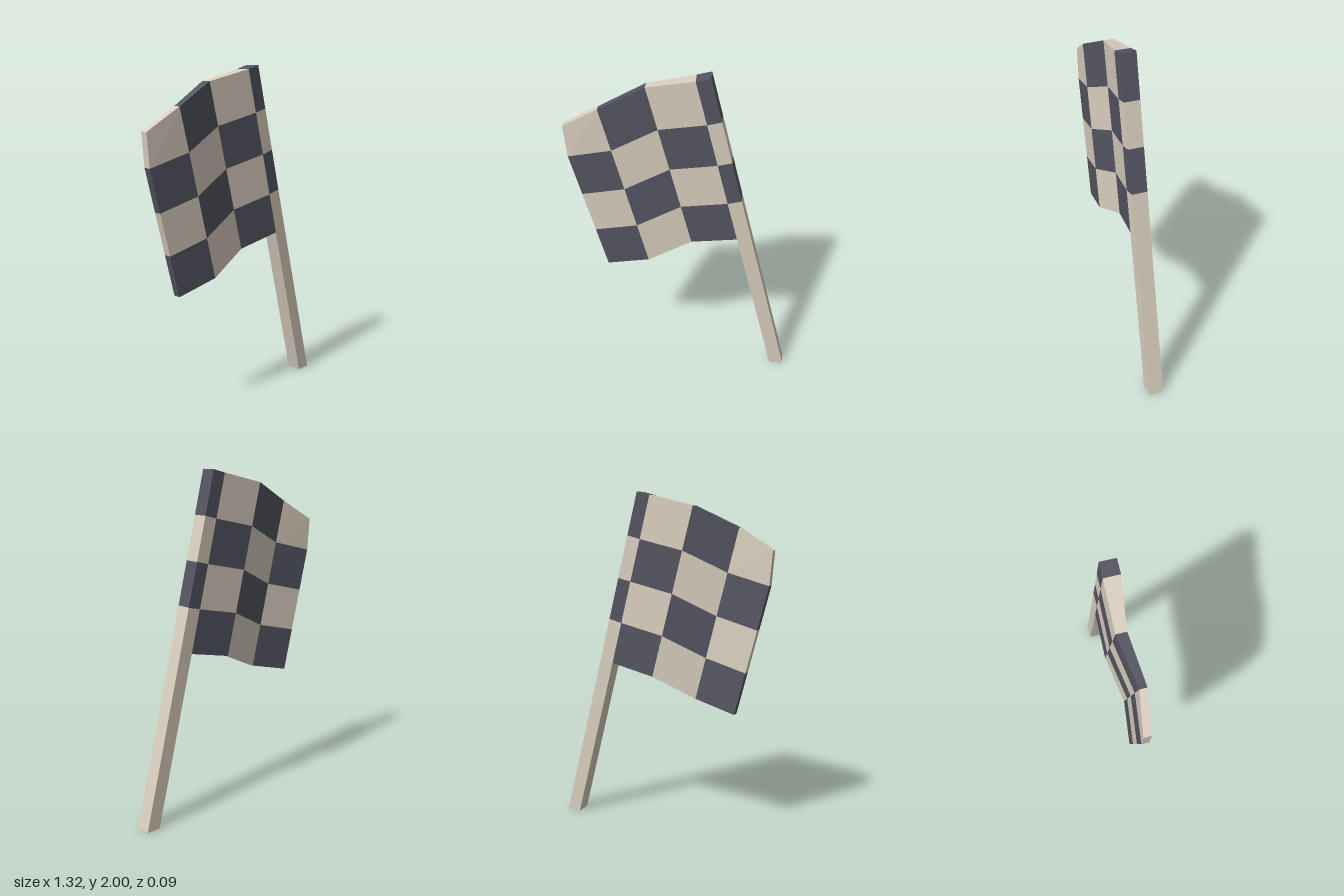
import * as THREE from 'three';

const light = new THREE.MeshStandardMaterial({ color: 0xd8cebe });
light.name = 'cream';
const dark = new THREE.MeshStandardMaterial({ color: 0x555562 });
dark.name = 'charcoal';

// Slanted fold lines from the free edge to the outer side of the pole:
// top point, then front and back depth
const folds = [
  { x: -0.707, y: 1.737, front: 0.018, back: -0.025 },
  { x: -0.455, y: 1.8, front: 0.045, back: 0.004 },
  { x: -0.2, y: 1.92, front: 0.008, back: -0.05 },
  { x: 0.07, y: 1.98, front: 0.045, back: -0.045 },
  { x: 0.15, y: 2.0, front: 0.045, back: -0.045 },
];
const ROWS = 4;
const POLE = 3; // column index of the pole
const STEP = { x: 0.063, y: -0.248 };

// Front and back points of a fold at a given row; row 5 is the foot of the pole
function points(col, row) {
  const f = folds[col];
  let x = f.x + STEP.x * row;
  let y = f.y + STEP.y * row;
  if (col === 0 && row === 0) [x, y] = [-0.66, 1.68]; // clipped corner
  if (row > ROWS) [x, y] = [col === POLE ? 0.575 : 0.66, 0];
  return { f: [x, y, f.front], b: [x, y, f.back] };
}

// Quad with corners counter-clockwise as seen from outside
function quad(out, a, b, c, d) {
  out.push(...a, ...b, ...c, ...a, ...c, ...d);
}

function addMesh(group, name, positions, material) {
  const geometry = new THREE.BufferGeometry();
  geometry.setAttribute('position', new THREE.Float32BufferAttribute(positions, 3));
  geometry.computeVertexNormals();
  const mesh = new THREE.Mesh(geometry, material);
  mesh.name = name;
  group.add(mesh);
}

export function createModel() {
  const model = new THREE.Group();
  model.name = 'checkeredFlag';
  const parts = { clothLight: [], clothDark: [], poleLight: [], poleDark: [] };

  for (let col = 0; col <= POLE; col++) {
    const isPole = col === POLE;
    const lastRow = isPole ? ROWS : ROWS - 1;
    for (let row = 0; row <= lastRow; row++) {
      const isDark = row < ROWS && (col + row) % 2 === 1;
      const out = parts[(isPole ? 'pole' : 'cloth') + (isDark ? 'Dark' : 'Light')];
      const tl = points(col, row), tr = points(col + 1, row);
      const bl = points(col, row + 1), br = points(col + 1, row + 1);

      // Front and back of the cell
      quad(out, bl.f, br.f, tr.f, tl.f);
      quad(out, br.b, bl.b, tl.b, tr.b);
      // Outer edges only
      if (row === 0) quad(out, tl.f, tr.f, tr.b, tl.b);
      if (row === lastRow) quad(out, bl.b, br.b, br.f, bl.f);
      if (col === 0 || row === ROWS) quad(out, bl.b, bl.f, tl.f, tl.b);
      if (isPole) quad(out, br.f, br.b, tr.b, tr.f);
    }
  }

  const cloth = new THREE.Group();
  cloth.name = 'flagCloth';
  addMesh(cloth, 'lightSquares', parts.clothLight, light);
  addMesh(cloth, 'darkSquares', parts.clothDark, dark);

  const pole = new THREE.Group();
  pole.name = 'flagPole';
  addMesh(pole, 'poleShaft', parts.poleLight, light);
  addMesh(pole, 'darkPoleBands', parts.poleDark, dark);

  model.add(cloth, pole);
  return model;
}
